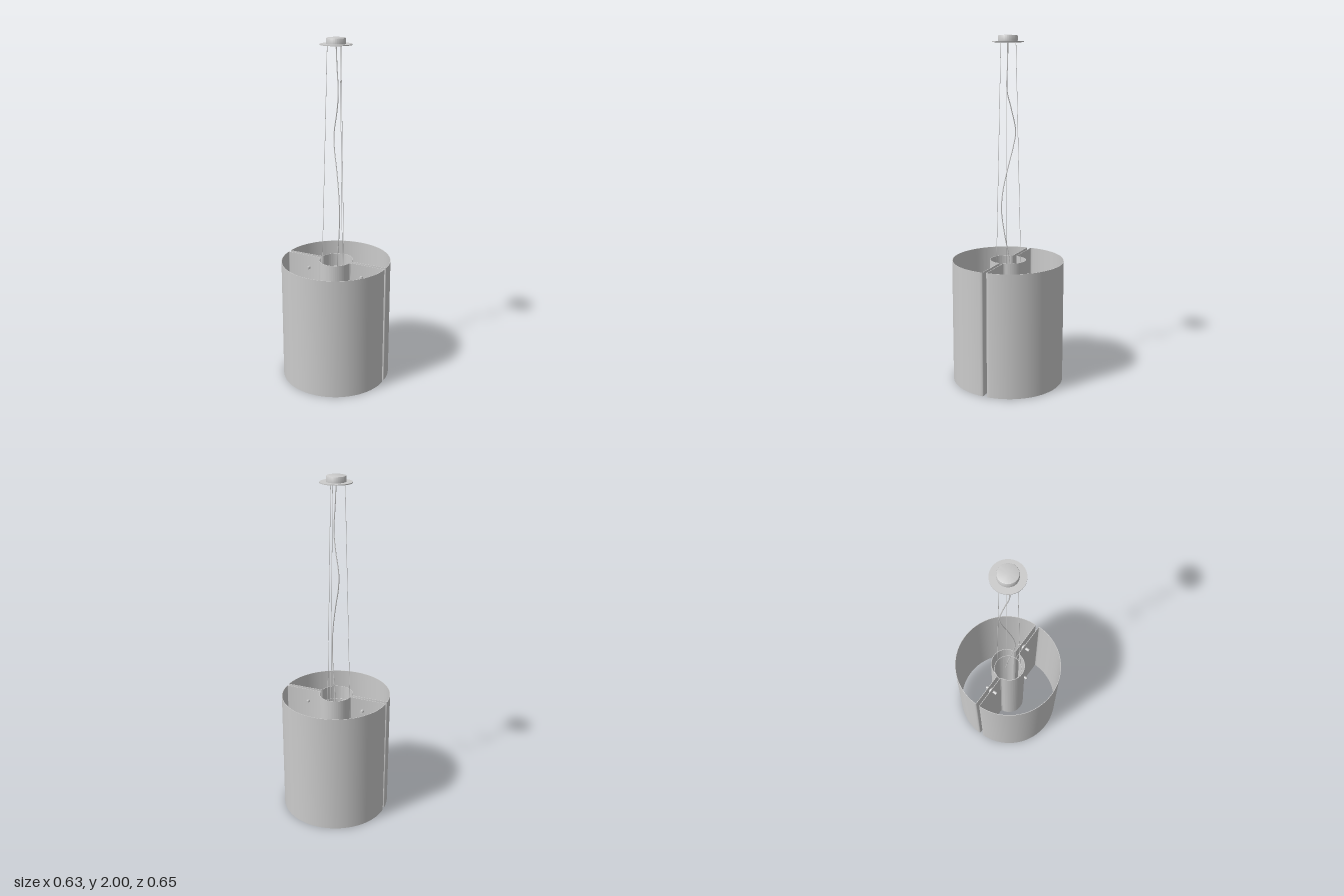
import * as THREE from 'three';
import { toCreasedNormals } from 'three/addons/utils/BufferGeometryUtils.js';

const SHADE_HEIGHT = 0.725, PLATE_Y = 1.965;

// Outline of one half shade, shrunk by t: big arc, flat inner wall and a bulge round the core
function halfOutline(Path, t) {
  const wall = 0.0105, R = 0.315, r = 0.092, corner = 0.006, fillet = 0.015;
  const ox = Math.sqrt((R - corner) ** 2 - corner ** 2);
  const cx = Math.sqrt((r + fillet) ** 2 - fillet ** 2);
  const a = Math.atan2(corner, ox), b = Math.atan2(fillet, cx), PI = Math.PI;
  const p = new Path();
  p.moveTo(cx, wall + t);
  p.absarc(ox, wall + corner, corner - t, -PI / 2, a, false);
  p.absarc(0, wall, R - t, a, PI - a, false);
  p.absarc(-ox, wall + corner, corner - t, PI - a, 1.5 * PI, false);
  p.absarc(-cx, wall + fillet, fillet - t, -PI / 2, -b, false);
  p.absarc(0, wall, r + t, PI - b, b, true);
  p.absarc(cx, wall + fillet, fillet - t, PI + b, 1.5 * PI, false);
  return p;
}

export function createModel() {
  const model = new THREE.Group();
  model.name = 'pendantLamp';
  const material = new THREE.MeshStandardMaterial({ color: 0xcccccc });

  const add = (name, geometry, parent = model) => {
    const mesh = new THREE.Mesh(geometry, material);
    mesh.name = name;
    parent.add(mesh);
    return mesh;
  };
  const wire = (name, points, radius, segments) => {
    const curve = new THREE.CatmullRomCurve3(points.map(p => new THREE.Vector3(...p)));
    return add(name, new THREE.TubeGeometry(curve, segments, radius, 8));
  };

  // Two thin-walled half shades, open at top and bottom
  const outline = halfOutline(THREE.Shape, 0);
  outline.holes.push(halfOutline(THREE.Path, 0.003));
  const shell = new THREE.ExtrudeGeometry(outline, {
    depth: SHADE_HEIGHT, bevelEnabled: false, curveSegments: 40,
  });
  shell.rotateX(-Math.PI / 2);
  const shade = toCreasedNormals(shell, 0.6);
  add('backShade', shade);
  add('frontShade', shade).rotation.y = Math.PI;

  // Bolts with spacers joining the halves, and thin arms running to the core
  for (const side of [-1, 1]) {
    for (const y of [0.075, 0.65]) {
      const joint = new THREE.Group();
      joint.name = side > 0 ? 'leftJoint' : 'rightJoint';
      joint.position.set(side * 0.173, y, 0);
      joint.rotation.x = Math.PI / 2;
      add('bolt', new THREE.CylinderGeometry(0.009, 0.009, 0.076, 24), joint);
      add('spacer', new THREE.CylinderGeometry(0.018, 0.018, 0.016, 32), joint);
      model.add(joint);
    }
    wire('supportArm', [[side * 0.084, 0.65, 0], [side * 0.16, 0.65, 0]], 0.0015, 1);
  }

  // Ring inside the core that carries the suspension cables
  const ring = add('supportRing', new THREE.TorusGeometry(0.084, 0.002, 8, 48));
  ring.rotation.x = Math.PI / 2;
  ring.position.y = 0.65;

  // Three suspension cables, spreading slightly towards the shade
  for (let i = 0; i < 3; i++) {
    const angle = -Math.PI / 2 + i * Math.PI * 2 / 3;
    const c = Math.cos(angle), s = Math.sin(angle);
    wire('suspensionCable', [[0.048 * c, PLATE_Y, 0.048 * s], [0.083 * c, 0.65, 0.083 * s]], 0.0015, 1);
  }

  // Loosely waving power cord
  wire('powerCord', [
    [0, PLATE_Y, 0], [0.005, 1.85, 0], [0.013, 1.7, 0], [-0.004, 1.6, -0.018],
    [-0.03, 1.47, -0.034], [-0.022, 1.38, -0.022], [0, 1.28, -0.004],
    [0.027, 1.13, 0.02], [0.034, 1.02, 0.025], [0.026, 0.9, 0.013],
    [0.004, 0.73, -0.01], [0, 0.65, -0.015],
  ], 0.003, 80);

  // Ceiling plate with a raised, softly bevelled cap
  const plate = add('ceilingPlate', new THREE.CylinderGeometry(0.089, 0.089, 0.005, 64));
  plate.position.y = PLATE_Y;
  const cap = [[0.054, 1.967], [0.054, 1.996], [0.0525, 1.999], [0.05, 2], [0, 2]];
  const lathe = new THREE.LatheGeometry(cap.map(p => new THREE.Vector2(...p)), 64);
  add('ceilingCap', toCreasedNormals(lathe, 0.6));

  return model;
}
